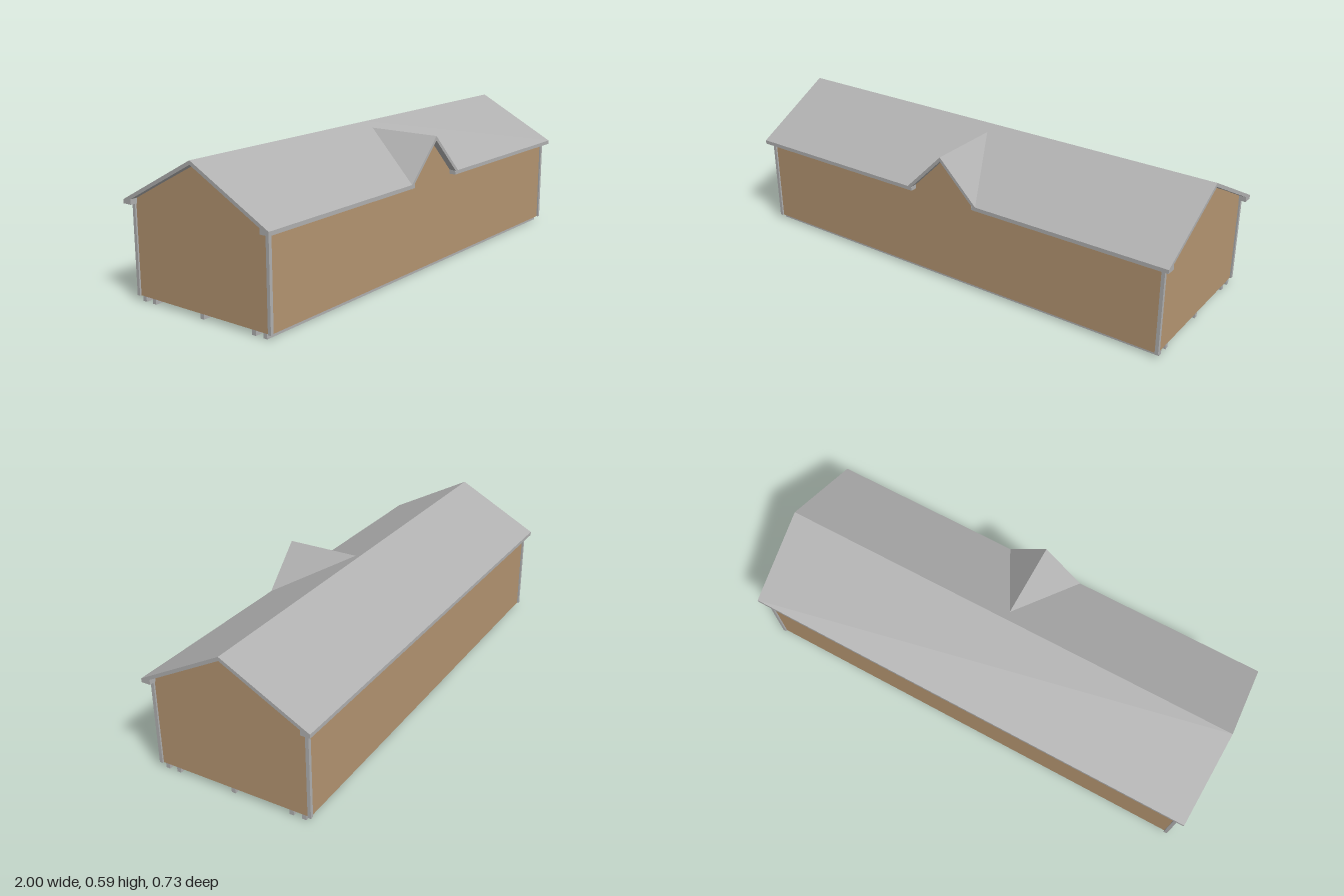
import * as THREE from 'three';

const ROOF_RISE = 0.59, EAVE_Y = 0.397, EAVE_Z = 0.363;
const WALL_X = 0.97, WALL_Z = 0.334, BASE_Y = 0.02;

// Slab: a convex outline (counter-clockwise from above) thickened straight down
function slab(outline, drop, mirrorX = false) {
  let pts = outline.map(([x, y, z]) => [mirrorX ? -x : x, y, z]);
  if (mirrorX) pts.reverse();
  const low = pts.map(([x, y, z]) => [x, y - drop, z]);
  const pos = [];
  const tri = (a, b, c) => pos.push(...a, ...b, ...c);
  const n = pts.length;
  for (let i = 1; i < n - 1; i++) {
    tri(pts[0], pts[i], pts[i + 1]);
    tri(low[0], low[i + 1], low[i]);
  }
  for (let i = 0; i < n; i++) {
    const j = (i + 1) % n;
    tri(pts[i], low[i], low[j]);
    tri(pts[i], low[j], pts[j]);
  }
  const g = new THREE.BufferGeometry();
  g.setAttribute('position', new THREE.Float32BufferAttribute(pos, 3));
  g.computeVertexNormals();
  return g;
}

const flatShape = (pts) => new THREE.Shape(pts.map(([x, y]) => new THREE.Vector2(x, y)));

// Extrude a (z, y) profile along x between x0 and x1
function alongX(profile, x0, x1) {
  const g = new THREE.ExtrudeGeometry(flatShape(profile), { depth: x1 - x0, bevelEnabled: false });
  g.rotateY(-Math.PI / 2);
  g.translate(x1, 0, 0);
  return g;
}

export function createModel() {
  const group = new THREE.Group();
  const grey = new THREE.MeshStandardMaterial({ color: 0xb0b0b0 });
  grey.name = 'trim grey';
  const tan = new THREE.MeshStandardMaterial({ color: 0xb49571, side: THREE.DoubleSide });
  tan.name = 'siding tan';

  const add = (name, geometry, material) => {
    const mesh = new THREE.Mesh(geometry, material);
    mesh.name = name;
    group.add(mesh);
    return mesh;
  };

  // Thin walls, open underneath
  const wallTop = 0.398;
  add('frontWall', new THREE.ShapeGeometry(flatShape([
    [-WALL_X, BASE_Y], [WALL_X, BASE_Y], [WALL_X, wallTop], [0.152, wallTop],
    [0, 0.55], [-0.152, wallTop], [-WALL_X, wallTop],
  ])), tan).position.z = WALL_Z;
  add('backWall', new THREE.ShapeGeometry(flatShape([
    [WALL_X, BASE_Y], [-WALL_X, BASE_Y], [-WALL_X, wallTop], [WALL_X, wallTop],
  ])), tan).position.z = -WALL_Z;
  for (const s of [-1, 1]) {
    const wall = add(s > 0 ? 'leftEndWall' : 'rightEndWall', new THREE.ShapeGeometry(flatShape([
      [-WALL_Z, BASE_Y], [WALL_Z, BASE_Y], [WALL_Z, wallTop], [0, 0.572], [-WALL_Z, wallTop],
    ])), tan);
    wall.rotation.y = s * Math.PI / 2;
    wall.position.x = s * WALL_X;
  }

  // Corner trim
  for (const x of [-WALL_X, WALL_X]) {
    for (const z of [-WALL_Z, WALL_Z]) {
      add('cornerTrim', new THREE.BoxGeometry(0.014, 0.365, 0.014), grey)
        .position.set(x, BASE_Y + 0.1825, z);
    }
  }

  // Skids
  for (const z of [-0.308, -0.255, 0, 0.255, 0.308]) {
    add('skid', new THREE.BoxGeometry(WALL_X * 2, 0.02, 0.018), grey).position.set(0, 0.01, z);
  }

  // Back roof slope
  add('backRoof', slab([
    [-1, ROOF_RISE, 0], [1, ROOF_RISE, 0], [1, EAVE_Y, -EAVE_Z], [-1, EAVE_Y, -EAVE_Z],
  ], 0.016), grey);

  // Front roof halves, cut along the dormer valleys, and the dormer slopes
  for (const mirror of [false, true]) {
    add('frontRoof', slab([
      [-1, ROOF_RISE, 0], [-1, EAVE_Y, EAVE_Z], [-0.17, EAVE_Y, EAVE_Z],
      [0, 0.567, 0.043], [0, ROOF_RISE, 0],
    ], 0.016, mirror), grey);
    add('dormerRoof', slab([
      [-0.17, EAVE_Y, EAVE_Z], [0, 0.567, EAVE_Z], [0, 0.567, 0.043],
    ], 0.018, mirror), grey);
  }

  // Boxed eaves
  const eave = (s) => [[s * 0.323, 0.381], [s * EAVE_Z, 0.381], [s * EAVE_Z, 0.394], [s * 0.323, 0.406]];
  add('frontEave', alongX(eave(1), -1, -0.15), grey);
  add('frontEave', alongX(eave(1), 0.15, 1), grey);
  add('backEave', alongX(eave(-1), -1, 1), grey);

  return group;
}
